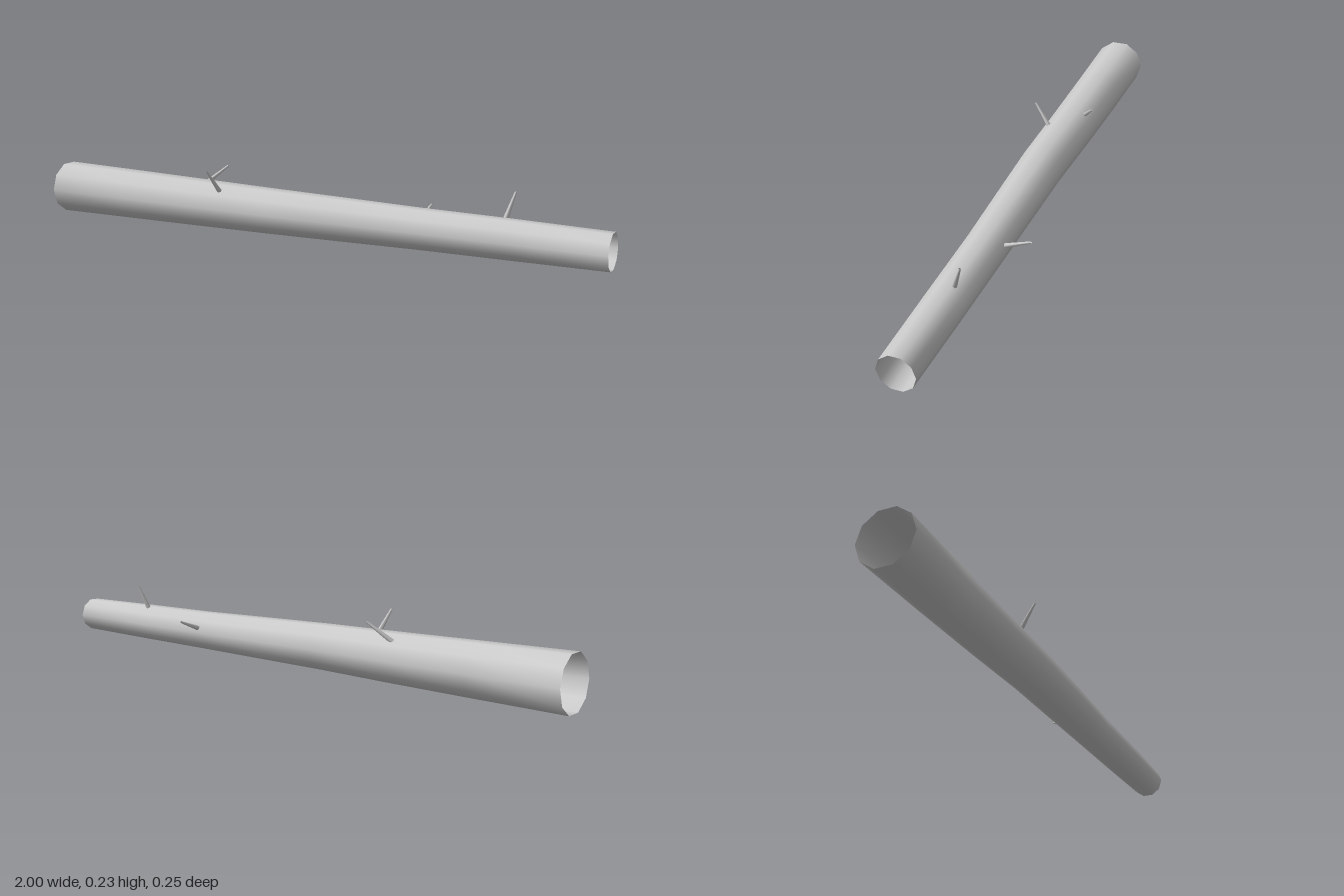
import * as THREE from 'three';

const SIDES = 10;

// Tapered open tube through rings of [x, centre y, centre z, radius]
function trunkGeometry(rings) {
  const positions = [];
  const index = [];
  rings.forEach(([x, y, z, r], i) => {
    for (let j = 0; j < SIDES; j++) {
      const a = (j / SIDES) * Math.PI * 2;
      positions.push(x, y + r * Math.sin(a), z + r * Math.cos(a));
      if (i === rings.length - 1) continue;
      const k = (j + 1) % SIDES;
      const p = i * SIDES, q = p + SIDES;
      index.push(p + j, q + j, p + k, p + k, q + j, q + k);
    }
  });
  const geometry = new THREE.BufferGeometry();
  geometry.setAttribute('position', new THREE.Float32BufferAttribute(positions, 3));
  geometry.setIndex(index);
  geometry.computeVertexNormals();
  return geometry;
}

// Thin tapered twig from a point inside the trunk to its tip
function makeTwig(from, to, material) {
  const start = new THREE.Vector3(...from);
  const end = new THREE.Vector3(...to);
  const dir = end.clone().sub(start);
  const geometry = new THREE.CylinderGeometry(0.0035, 0.0125, dir.length(), 6, 1, true);
  const twig = new THREE.Mesh(geometry, material);
  twig.position.copy(start).add(end).multiplyScalar(0.5);
  twig.quaternion.setFromUnitVectors(new THREE.Vector3(0, 1, 0), dir.normalize());
  twig.name = 'twig';
  return twig;
}

export function createModel() {
  const group = new THREE.Group();
  group.name = 'hollowLog';
  const bark = new THREE.MeshStandardMaterial({ color: 0xcccccc, side: THREE.DoubleSide });
  bark.name = 'pale grey';

  // Trunk, gently bowed sideways
  const trunk = new THREE.Mesh(trunkGeometry([
    [-1, 0.086, 0.014, 0.0905],
    [-0.7, 0.086, 0.016, 0.086],
    [-0.4, 0.086, 0.02, 0.081],
    [-0.12, 0.087, 0.026, 0.076],
    [0.1, 0.087, 0.024, 0.072],
    [0.4, 0.087, 0.021, 0.066],
    [0.7, 0.088, 0.021, 0.063],
    [1, 0.0885, 0.022, 0.0585],
  ]), bark);
  trunk.name = 'trunk';
  group.add(trunk);

  // Twigs
  [
    [[-0.295, 0.085, 0.025], [-0.319, 0.217, 0.121]],
    [[-0.485, 0.085, 0.02], [-0.36, 0.204, -0.073]],
    [[0.385, 0.082, 0.02], [0.381, 0.134, -0.122]],
    [[0.655, 0.08, 0.022], [0.69, 0.224, -0.029]],
  ].forEach(([from, to]) => group.add(makeTwig(from, to, bark)));

  return group;
}
